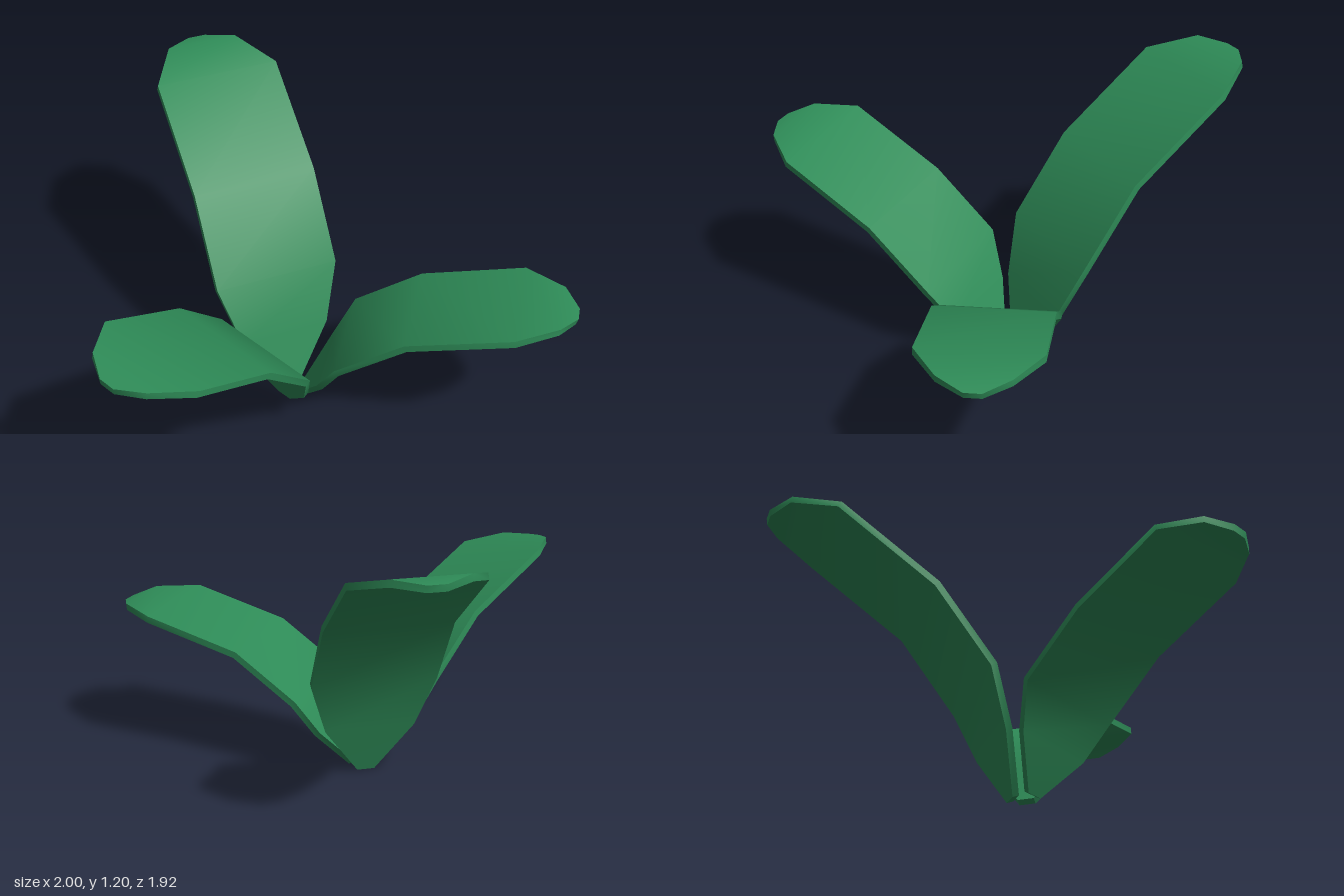
import * as THREE from 'three';
import { toCreasedNormals } from 'three/addons/utils/BufferGeometryUtils.js';

const THICKNESS = 0.03;
// share of the full width at each station, from root to tip
const WIDTHS = [0.14, 0.72, 1, 1, 1, 0.57, 0.14];

// A curved strip: rectangular cross-sections swept through the centre points
function leafGeometry(points, halfWidth) {
  const centres = points.map((p) => new THREE.Vector3(...p));
  const side = new THREE.Vector3(...halfWidth);
  const positions = [];
  const index = [];
  centres.forEach((c, i) => {
    const prev = centres[Math.max(i - 1, 0)];
    const next = centres[Math.min(i + 1, centres.length - 1)];
    const tangent = next.clone().sub(prev).normalize();
    const normal = side.clone().cross(tangent).normalize();
    const w = side.clone().multiplyScalar(WIDTHS[i]);
    const under = normal.multiplyScalar(-THICKNESS);
    const ring = [
      c.clone().sub(w),
      c.clone().add(w),
      c.clone().add(w).add(under),
      c.clone().sub(w).add(under),
    ];
    // keep the root on the ground
    ring.forEach((v) => positions.push(v.x, Math.max(v.y, 0), v.z));
  });
  const last = (centres.length - 1) * 4;
  for (let i = 0; i < last; i += 4) {
    for (let k = 0; k < 4; k++) {
      const a = i + k;
      const b = i + ((k + 1) % 4);
      index.push(a, b, b + 4, a, b + 4, a + 4);
    }
  }
  // root and tip caps
  index.push(0, 3, 2, 0, 2, 1);
  index.push(last, last + 1, last + 2, last, last + 2, last + 3);

  const geometry = new THREE.BufferGeometry();
  geometry.setAttribute('position', new THREE.Float32BufferAttribute(positions, 3));
  geometry.setIndex(index);
  return toCreasedNormals(geometry, 0.8);
}

// Centre line from root to tip, and the vector from it to one long edge
const LEAVES = [
  {
    name: 'backLeaf',
    halfWidth: [0.28, 0, 0],
    points: [
      [0.02, 0.01, 0.15], [0.02, 0.24, 0.07], [0.02, 0.49, -0.02], [0.02, 0.83, -0.27],
      [0.02, 1.14, -0.7], [0.02, 1.2, -0.89], [0.02, 1.19, -0.965],
    ],
  },
  {
    name: 'leftLeaf',
    halfWidth: [-0.146, 0.003, 0.203],
    points: [
      [0.04, 0.02, 0.2], [0.125, 0.2, 0.262], [0.195, 0.36, 0.313], [0.425, 0.555, 0.483],
      [0.775, 0.667, 0.743], [0.915, 0.675, 0.843], [0.97, 0.655, 0.88],
    ],
  },
  {
    name: 'rightLeaf',
    halfWidth: [-0.108, 0.03, -0.222],
    points: [
      [-0.02, 0.02, 0.2], [-0.1, 0.21, 0.26], [-0.175, 0.395, 0.31], [-0.41, 0.64, 0.455],
      [-0.778, 0.845, 0.658], [-0.925, 0.87, 0.73], [-0.985, 0.86, 0.76],
    ],
  },
];

export function createModel() {
  const group = new THREE.Group();
  group.name = 'sprout';
  const leafGreen = new THREE.MeshStandardMaterial({ color: 0x2e8b57 });
  leafGreen.name = 'leafGreen';
  for (const { name, points, halfWidth } of LEAVES) {
    const leaf = new THREE.Mesh(leafGeometry(points, halfWidth), leafGreen);
    leaf.name = name;
    group.add(leaf);
  }
  return group;
}
